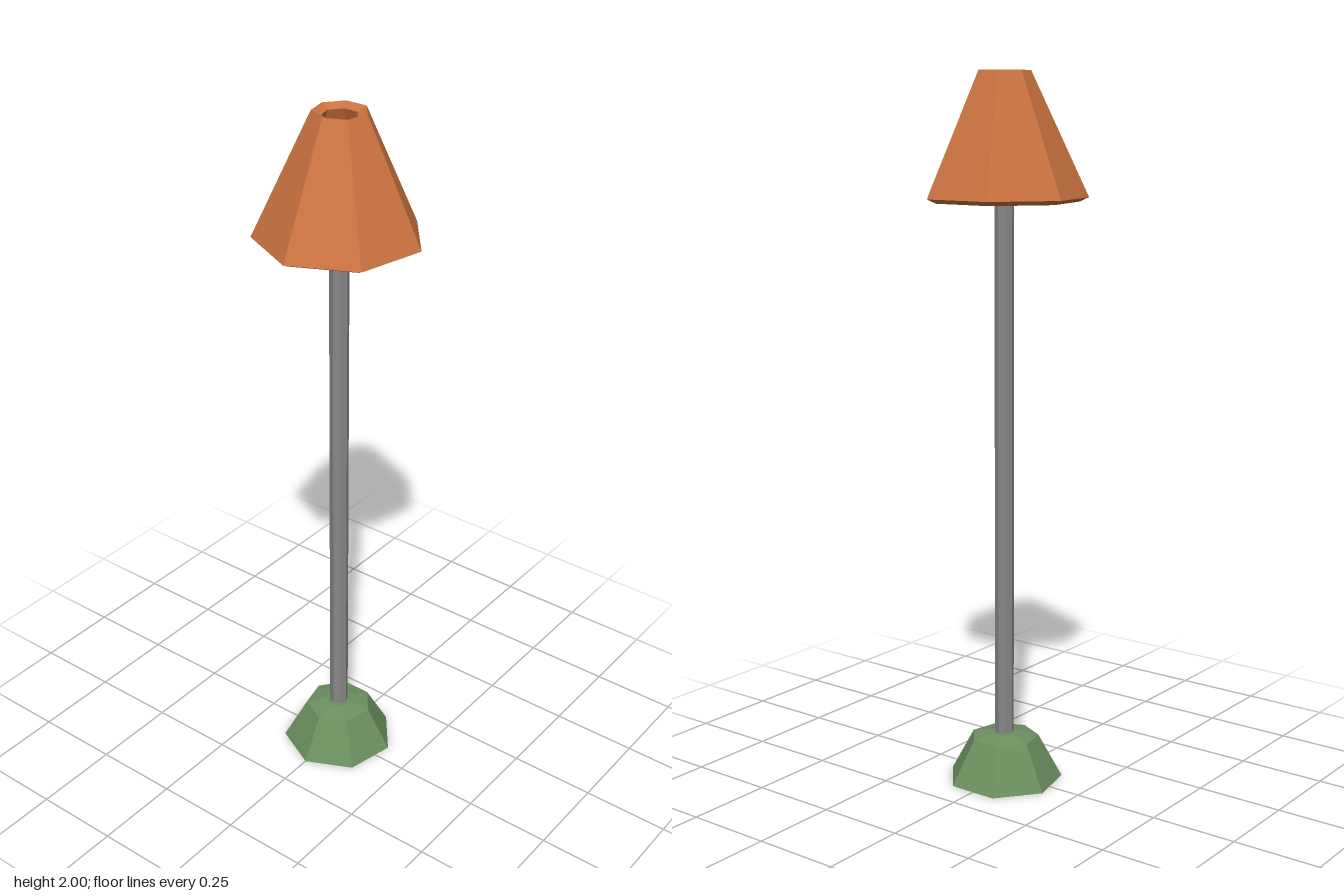
import * as THREE from 'three';

const mat = (color) => new THREE.MeshStandardMaterial({ color, flatShading: true });
const Z = -0.014; // axis of the lamp

// Seven-sided turned solid with one corner facing the front
function turned(name, points, color) {
  const geo = new THREE.LatheGeometry(points.map(([r, y]) => new THREE.Vector2(r, y)), 7);
  const mesh = new THREE.Mesh(geo, mat(color));
  mesh.name = name;
  mesh.position.z = Z;
  return mesh;
}

export function createModel() {
  const lamp = new THREE.Group();
  lamp.name = 'floorLamp';

  // Foot with a shallow sloped cap
  lamp.add(turned('base', [[0, 0], [0.166, 0], [0.098, 0.125], [0.04, 0.138], [0, 0.138]], 0x6b9060));

  // Pole
  const pole = new THREE.Mesh(new THREE.CylinderGeometry(0.027, 0.027, 1.59, 8), mat(0x888888));
  pole.name = 'pole';
  pole.position.set(0, 0.905, Z);
  lamp.add(pole);

  // Faceted bulb, one corner straight up
  const bulbGeo = new THREE.IcosahedronGeometry(0.1, 0);
  bulbGeo.rotateZ(-Math.atan(2 / (1 + Math.sqrt(5))));
  const bulb = new THREE.Mesh(bulbGeo, mat(0xcccccc));
  bulb.name = 'bulb';
  bulb.position.set(0, 1.76, Z);
  lamp.add(bulb);

  // Thick open shade, leaning very slightly towards the back
  const shade = turned('shade', [
    [0.204, 1.652], [0.23, 1.664], [0.074, 2], [0.048, 1.988], [0.204, 1.652],
  ], 0xcc7340);
  const p = shade.geometry.attributes.position;
  for (let i = 0; i < p.count; i++) {
    const t = (p.getY(i) - 1.66) / 0.34;
    p.setX(i, p.getX(i) - 0.004 * t);
    p.setZ(i, p.getZ(i) - 0.009 * t);
  }
  lamp.add(shade);

  return lamp;
}
